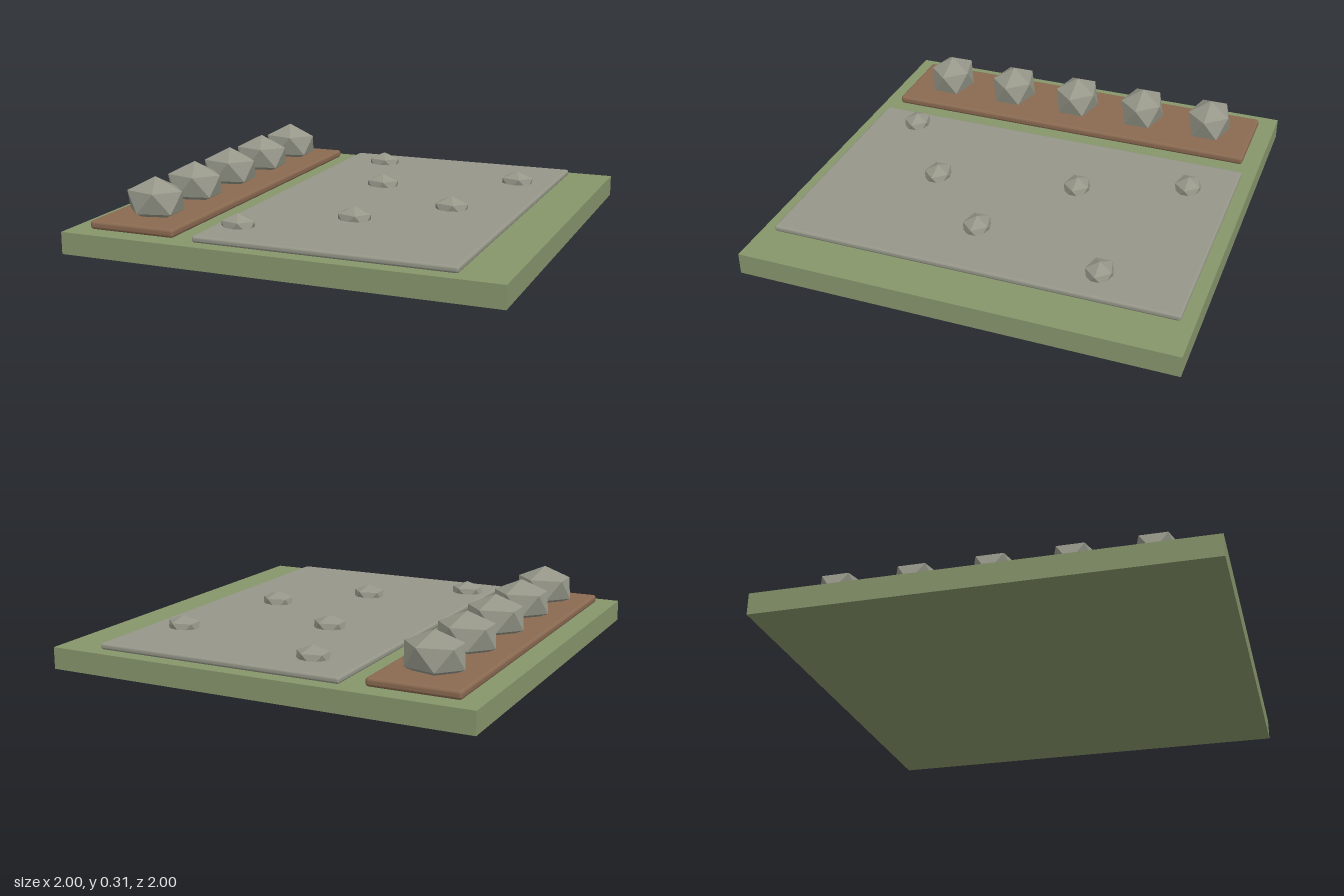
import * as THREE from 'three';
import { RoundedBoxGeometry } from 'three/addons/geometries/RoundedBoxGeometry.js';

function material(name, color) {
  const m = new THREE.MeshStandardMaterial({ color });
  m.name = name;
  return m;
}

// Icosahedron standing on a vertex, stretched to the given radii
function rockGeometry(rx, ry, rz) {
  const g = new THREE.IcosahedronGeometry(1, 0);
  g.rotateZ(-Math.atan(2 / (1 + Math.sqrt(5))));
  return g.scale(rx, ry, rz);
}

export function createModel() {
  const model = new THREE.Group();
  model.name = 'rockGarden';
  const grass = material('grass green', 0x87966c);
  const soil = material('soil brown', 0x8a6a51);
  const stone = material('stone grey', 0x969789);

  const add = (name, geometry, mat, x, y, z) => {
    const mesh = new THREE.Mesh(geometry, mat);
    mesh.name = name;
    mesh.position.set(x, y, z);
    model.add(mesh);
  };

  // Ground block, planting bed and paved area
  add('lawnBase', new THREE.BoxGeometry(2, 0.1, 2), grass, 0, 0.05, 0);
  add('soilBed', new RoundedBoxGeometry(0.416, 0.04, 1.835, 2, 0.015), soil, -0.7, 0.12, 0);
  add('pavingSlab', new RoundedBoxGeometry(1.18, 0.03, 1.88, 2, 0.012), stone, 0.2, 0.115, 0);

  // Row of boulders in the bed
  const boulder = rockGeometry(0.15, 0.107, 0.118);
  for (let i = -2; i <= 2; i++) add(`boulder${i + 3}`, boulder, stone, -0.7, 0.204, i * 0.35);

  // Small stones scattered on the slab
  const pebble = rockGeometry(0.088, 0.056, 0.07);
  [[-0.16, -0.73], [0.62, -0.54], [0.02, -0.24], [0.48, 0.08], [0.14, 0.42], [-0.28, 0.72]]
    .forEach(([x, z], i) => add(`smallStone${i + 1}`, pebble, stone, x, 0.132, z));

  return model;
}
